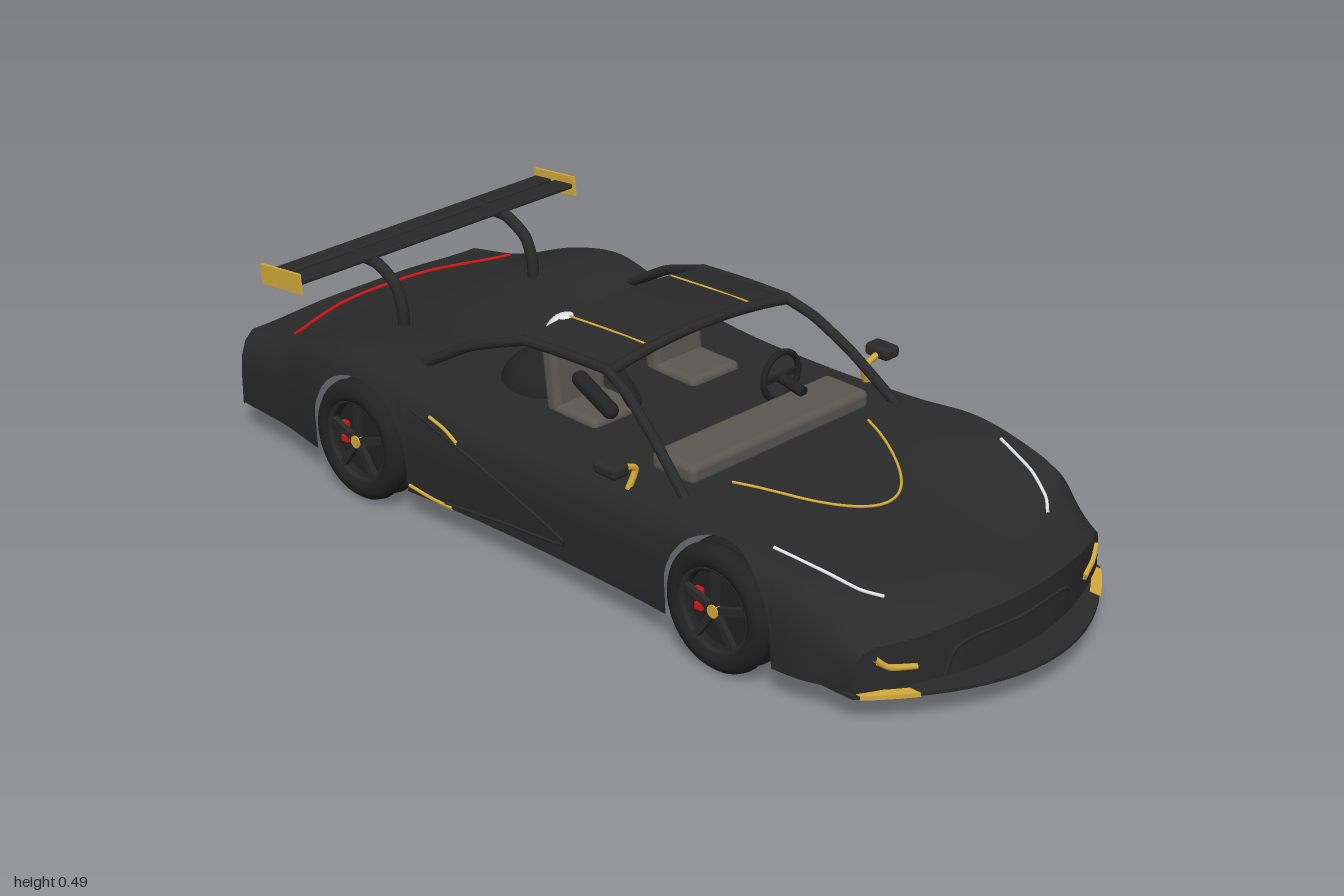
import * as THREE from 'three';
import { toCreasedNormals } from 'three/addons/utils/BufferGeometryUtils.js';
import { RoundedBoxGeometry } from 'three/addons/geometries/RoundedBoxGeometry.js';

const V = (x, y, z) => new THREE.Vector3(x, y, z);
const paint = (name, color, side = THREE.FrontSide) => {
  const m = new THREE.MeshStandardMaterial({ color, side });
  m.name = name;
  return m;
};
const BLACK = paint('satin black', 0x2a2a2a, THREE.DoubleSide);
const DARK = paint('rubber black', 0x222222);
const GREY = paint('seat grey', 0x5b5852);
const GOLD = paint('gold', 0xd4ab3a, THREE.DoubleSide);
const RED = paint('red', 0xd01515);
const WHITE = paint('white', 0xf0f2f4);

// Body stations: x -> half width, shoulder height, centre height
const XS = [-1, -0.85, -0.7, -0.56, -0.4, -0.2, 0.1, 0.35, 0.5, 0.65, 0.8, 0.93];
const VALUES = [
  0.365, 0.235, 0.245, 0.375, 0.262, 0.272, 0.4, 0.315, 0.3, 0.41, 0.34, 0.31,
  0.397, 0.318, 0.3, 0.386, 0.288, 0.285, 0.385, 0.28, 0.28, 0.395, 0.285, 0.285,
  0.41, 0.29, 0.267, 0.405, 0.267, 0.242, 0.39, 0.225, 0.213, 0.365, 0.162, 0.182];
const spline = new THREE.CubicInterpolant(XS, VALUES, 3, new Float32Array(12));
const station = x => {
  const r = spline.evaluate(THREE.MathUtils.clamp(x, -1, 0.93));
  return { w: r[0], shoulder: r[1], centre: r[2] };
};
const FLOOR = 0.065, AXLES = [-0.56, 0.5], AXLE_Y = 0.135, ARCH = 0.147;

// The nose sweeps back towards the sides
const bow = (x, z) => x - 0.1 * THREE.MathUtils.smoothstep(x, 0.66, 0.93) * (z / 0.36) ** 2;
const SIDE = [[0, 0.985], [0.45, 1], [0.7, 0.99], [0.88, 0.96], [1, 0.9]];
const sideU = v => {
  for (let i = 1; i < SIDE.length; i++) {
    const [a, ua] = SIDE[i - 1], [b, ub] = SIDE[i];
    if (v <= b) return THREE.MathUtils.lerp(ua, ub, (v - a) / (b - a));
  }
  return 0.9;
};
const deckPoint = (x, z, lift = 0.002) => {
  const s = station(x);
  const t = THREE.MathUtils.smoothstep(Math.abs(z) / s.w, 0.25, 0.85);
  return V(bow(x, z), THREE.MathUtils.lerp(s.centre, s.shoulder, t) + lift, z);
};
const sidePoint = (x, y, lift = 0.001) => {
  const s = station(x), z = s.w * sideU((y - FLOOR) / (s.shoulder - FLOOR));
  return V(bow(x, z), y, z + lift);
};

// Open-bottomed shell with wheel arches cut into its sides
function bodyGeometry() {
  const xs = [];
  for (let i = 0; i <= 90; i++) xs.push(-1 + 1.93 * i / 90);
  for (const a of AXLES) for (const e of [-1, 1]) for (const k of [0.0002, -0.0002, -0.002, -0.006]) xs.push(a + e * (ARCH + k));
  xs.sort((a, b) => a - b);
  const rows = xs.map(x => {
    const { w, shoulder } = station(x);
    let low = FLOOR;
    for (const a of AXLES) {
      const d = Math.abs(x - a);
      if (d < ARCH) low = AXLE_Y + Math.sqrt(ARCH * ARCH - d * d);
    }
    low = Math.min(low, shoulder - 0.004);
    const half = SIDE.map(([v]) => sidePoint(x, THREE.MathUtils.lerp(low, shoulder, v), 0));
    for (const u of [0.8, 0.65, 0.5, 0.35, 0.18]) half.push(deckPoint(x, u * w, 0));
    const mirror = half.map(p => V(p.x, p.y, -p.z)).reverse();
    return [...half, deckPoint(x, 0, 0), ...mirror];
  });
  // Upright nose and tail walls
  const drop = row => row.map(p => V(p.x, FLOOR, p.z));
  rows.unshift(drop(rows[0]));
  rows.push(drop(rows[rows.length - 1]));
  const n = rows[0].length, pos = [], idx = [];
  rows.flat().forEach(p => pos.push(p.x, p.y, p.z));
  for (let i = 0; i < rows.length - 1; i++) for (let j = 0; j < n - 1; j++) {
    const a = i * n + j, b = a + n;
    idx.push(a, b, a + 1, b, b + 1, a + 1);
  }
  const g = new THREE.BufferGeometry();
  g.setAttribute('position', new THREE.Float32BufferAttribute(pos, 3));
  g.setIndex(idx);
  return toCreasedNormals(g, 0.6);
}

export function createModel() {
  const car = new THREE.Group();
  car.name = 'sportsCar';
  const add = (name, geo, mat, p = [0, 0, 0], rot = [0, 0, 0], parent = car) => {
    const m = new THREE.Mesh(geo, mat);
    m.name = name;
    m.position.set(...p);
    m.rotation.set(...rot);
    parent.add(m);
    return m;
  };
  const tube = (name, pts, r, mat, seg = 24) =>
    add(name, new THREE.TubeGeometry(new THREE.CatmullRomCurve3(pts, false, 'catmullrom', 0.3), seg, r, 8), mat);
  const box = (w, h, d, r = 0.01) => new RoundedBoxGeometry(w, h, d, 3, r);
  const flip = (pts, s) => pts.map(p => V(p.x, p.y, p.z * s));
  const span = (n, f) => Array.from({ length: n + 1 }, (_, i) => f(-1 + 2 * i / n));

  add('body', bodyGeometry(), BLACK);

  // Deck and tail trim
  tube('hoodLine', span(20, t => deckPoint(0.35 + 0.235 * (1 - t * t), 0.2 * t)), 0.003, GOLD, 60);
  tube('deckLightLine', span(16, t => deckPoint(-0.94 + 0.075 * t * t, 0.32 * t)), 0.004, RED, 50);
  add('tailLight', new THREE.BoxGeometry(0.006, 0.01, 0.66), RED, [-0.999, 0.205, 0]);
  add('tailRecessEdge', new THREE.BoxGeometry(0.004, 0.006, 0.66), DARK, [-0.999, 0.13, 0]);
  // Grille outline
  const noseX = z => bow(0.93, z) + 0.001;
  tube('grilleFrame', [[0.19, 0.07], [0.17, 0.12], [0.13, 0.135], [0, 0.135], [-0.13, 0.135], [-0.17, 0.12], [-0.19, 0.07]]
    .map(([z, y]) => V(noseX(z), y, z)), 0.004, BLACK, 40);

  // Front splitter: crescents following the nose
  const crescent = (z0, z1, inner, outer, thick) => {
    const edge = (k, t) => {
      const z = THREE.MathUtils.lerp(z0, z1, t);
      return new THREE.Vector2(k - 0.16 * (z / 0.36) ** 2, -z);
    };
    const pts = [];
    for (let i = 0; i <= 20; i++) pts.push(edge(outer, i / 20));
    for (let i = 20; i >= 0; i--) pts.push(edge(inner, i / 20));
    const g = new THREE.ExtrudeGeometry(new THREE.Shape(pts), { depth: thick, bevelEnabled: false });
    return g.rotateX(-Math.PI / 2);
  };
  add('splitter', crescent(-0.37, 0.37, 0.9, 1, 0.007), BLACK, [0, 0.059, 0]);

  for (const s of [1, -1]) {
    add('splitterTip', crescent(0.27 * s, 0.36 * s, 0.975, 1.003, 0.009), GOLD, [0, 0.0585, 0]);
    tube('headlight', [[0.59, 0.335], [0.7, 0.305], [0.785, 0.275], [0.82, 0.243]].map(([x, z]) => deckPoint(x, z * s)), 0.0035, WHITE);
    tube('noseAccent', [[0.33, 0.138], [0.305, 0.116], [0.25, 0.106], [0.3, 0.113], [0.325, 0.13]]
      .map(([z, y]) => V(noseX(z) + 0.002, y, z * s)), 0.006, GOLD, 40);
    tube('sillAccent', flip([sidePoint(-0.405, 0.082), sidePoint(-0.34, 0.072), sidePoint(-0.28, 0.069)], s), 0.004, GOLD);
    tube('sideAccent', flip([sidePoint(-0.345, 0.258), sidePoint(-0.3, 0.245), sidePoint(-0.26, 0.226)], s), 0.004, GOLD);
    tube('doorCrease', flip([sidePoint(-0.4, 0.26), sidePoint(-0.2, 0.2), sidePoint(0.06, 0.11), sidePoint(-0.12, 0.09), sidePoint(-0.3, 0.075)], s), 0.003, BLACK, 50);
    // Cabin frame
    tube('frontPillar', flip([V(0.33, 0.28, 0.31), V(0.22, 0.37, 0.29), V(0.13, 0.428, 0.272), V(0.055, 0.455, 0.258)], s), 0.011, BLACK);
    tube('rearPillar', flip([V(-0.46, 0.315, 0.305), V(-0.32, 0.395, 0.285), V(-0.18, 0.445, 0.262)], s), 0.011, BLACK);
    tube('roofRail', flip([V(-0.19, 0.444, 0.262), V(-0.06, 0.452, 0.26), V(0.065, 0.455, 0.258)], s), 0.011, BLACK);
    // Mirrors
    add('mirror', box(0.065, 0.028, 0.045), BLACK, [0.21, 0.338, 0.397 * s]);
    tube('mirrorStalk', flip([V(0.21, 0.275, 0.35), V(0.215, 0.318, 0.335), V(0.212, 0.336, 0.385)], s), 0.007, GOLD);
    // Rear wing ends and struts
    add('wingEndPlate', new THREE.BoxGeometry(0.13, 0.045, 0.007), GOLD, [-0.795, 0.438, 0.4 * s], [0, 0, 0.1]);
    tube('wingStrut', flip([V(-0.83, 0.432, 0.19), V(-0.73, 0.432, 0.19), V(-0.67, 0.4, 0.19), V(-0.648, 0.35, 0.19), V(-0.645, 0.3, 0.19)], s), 0.013, BLACK);
  }

  // Rear wing planks
  for (const [x, w] of [[-0.832, 0.054], [-0.765, 0.06]])
    add('wingPlank', box(w, 0.011, 0.8, 0.004), BLACK, [x, 0.438 + (x + 0.795) * 0.1, 0], [0, 0, 0.1]);

  // Roof: a thin arched panel with a front hoop
  const roofY = (x, z) => 0.476 - 0.024 * (z / 0.26) ** 2 - Math.max(0, -x) * 0.05;
  const roof = new THREE.BoxGeometry(0.24, 0.01, 0.52, 8, 1, 20).translate(-0.06, 0, 0);
  const rp = roof.attributes.position;
  for (let i = 0; i < rp.count; i++) rp.setY(i, rp.getY(i) + roofY(rp.getX(i), rp.getZ(i)));
  add('roofPanel', toCreasedNormals(roof, 0.6), BLACK);
  tube('roofHoop', span(12, t => V(0.062, roofY(0, 0.262 * t) - 0.002, 0.262 * t)), 0.011, BLACK, 40);
  for (const z of [-0.155, 0.145])
    tube('roofLine', [-0.175, -0.06, 0.05].map(x => V(x, roofY(x, z) + 0.005, z)), 0.0028, GOLD);

  // Cabin
  add('dashboard', box(0.12, 0.045, 0.52, 0.015), GREY, [0.24, 0.298, 0]);
  for (const z of [0.145, -0.143]) {
    add('seatBack', box(0.04, 0.15, 0.142, 0.015), GREY, [-0.16, 0.342, z], [0, 0, 0.12]);
    add('seatBase', box(0.13, 0.05, 0.142, 0.015), GREY, [-0.09, 0.272, z]);
  }
  add('headrest', box(0.03, 0.035, 0.09), GREY, [-0.17, 0.425, -0.145]);
  add('steeringWheel', new THREE.TorusGeometry(0.052, 0.007, 10, 32), DARK, [0.16, 0.345, -0.14], [0, Math.PI / 2, 0]);
  add('steeringSpoke', new THREE.BoxGeometry(0.008, 0.012, 0.1), DARK, [0.16, 0.345, -0.14]);
  add('steeringColumn', new THREE.CylinderGeometry(0.012, 0.012, 0.07, 12), DARK, [0.19, 0.335, -0.14], [0, 0, Math.PI / 2 - 0.2]);

  // Driver
  add('driverTorso', new THREE.SphereGeometry(0.09, 28, 18), DARK, [-0.265, 0.272, 0.14]);
  add('helmet', new THREE.SphereGeometry(0.048, 28, 20), WHITE, [-0.18, 0.42, 0.143]);
  add('visor', new THREE.SphereGeometry(0.04, 24, 16), DARK, [-0.152, 0.42, 0.143]).scale.set(0.62, 0.5, 1);
  for (const z of [0.18, 0.1])
    add('driverArm', new THREE.CapsuleGeometry(0.018, 0.09, 6, 14), DARK, [-0.06, 0.335, z], [0.25 * Math.sign(z - 0.14), 0, 0.95]);

  // Wheels: twin-lobed tyre, five spokes, gold hub and red caliper
  for (const x of AXLES) for (const s of [1, -1]) {
    const wheel = new THREE.Group();
    wheel.name = 'wheel';
    wheel.position.set(x, AXLE_Y, 0.367 * s);
    if (s < 0) wheel.scale.z = -1;
    car.add(wheel);
    const put = (n, g, m, p, r) => add(n, g, m, p, r, wheel);
    for (const z of [-0.022, 0.02]) put('tyre', new THREE.TorusGeometry(0.108, 0.027, 14, 48), DARK, [0, 0, z]);
    put('brakeDisc', new THREE.CylinderGeometry(0.092, 0.092, 0.03, 36), DARK, [0, 0, 0.003], [Math.PI / 2, 0, 0]);
    put('rim', new THREE.TorusGeometry(0.09, 0.008, 8, 40), BLACK, [0, 0, 0.034]);
    for (let i = 0; i < 5; i++) {
      const a = Math.PI / 2 + i * Math.PI * 0.4;
      put('spoke', new THREE.BoxGeometry(0.085, 0.015, 0.012), BLACK, [0.045 * Math.cos(a), 0.045 * Math.sin(a), 0.034], [0, 0, a]);
    }
    put('hub', new THREE.CylinderGeometry(0.014, 0.014, 0.014, 16), GOLD, [0, 0, 0.036], [Math.PI / 2, 0, 0]);
    for (const y of [0.018, -0.016]) put('caliper', box(0.02, 0.016, 0.012, 0.003), RED, [-0.055, y, 0.022]);
  }
  return car;
}
